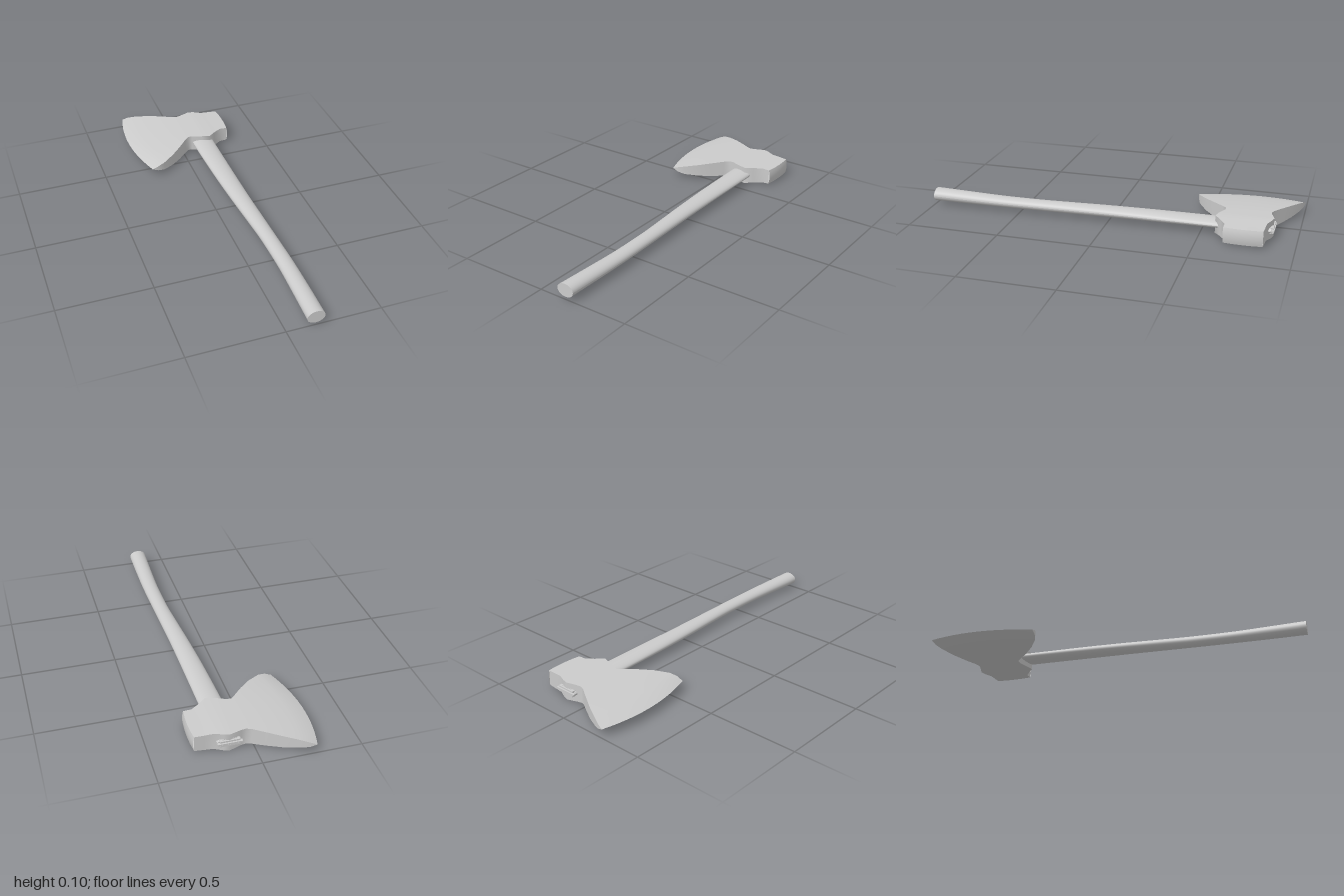
import * as THREE from 'three';

const MID = 0.049; // height of the plane of symmetry

// Smooth surface patch from point(u, v) on an integer grid; faces along du x dv unless flipped
function patch(name, nu, nv, point, flip = false) {
  const positions = [], index = [];
  for (let i = 0; i <= nu; i++) for (let j = 0; j <= nv; j++) positions.push(...point(i, j));
  for (let i = 0; i < nu; i++) for (let j = 0; j < nv; j++) {
    const a = i * (nv + 1) + j, b = a + nv + 1;
    if (flip) index.push(a, a + 1, b, b, a + 1, b + 1);
    else index.push(a, b, a + 1, b, b + 1, a + 1);
  }
  const geometry = new THREE.BufferGeometry();
  geometry.setAttribute('position', new THREE.Float32BufferAttribute(positions, 3));
  geometry.setIndex(index);
  geometry.computeVertexNormals();
  const mesh = new THREE.Mesh(geometry,
    new THREE.MeshStandardMaterial({ color: 0xcccccc, side: THREE.DoubleSide }));
  mesh.name = name;
  return mesh;
}

// Head stations from cutting edge to poll: back x, back z, front x, front z, half thickness, bow
const HEAD = [
  [-0.27, -1.0, -0.24, -0.42, 0, 0.046],
  [-0.235, -0.992, -0.205, -0.419, 0.014, 0.038],
  [-0.19, -0.972, -0.165, -0.432, 0.024, 0.028],
  [-0.12, -0.937, -0.10, -0.477, 0.034, 0.015],
  [-0.05, -0.896, -0.04, -0.533, 0.041, 0.006],
  [0.01, -0.859, 0.01, -0.587, 0.045, 0],
  [0.035, -0.85, 0.035, -0.61, 0.046, 0],
  [0.06, -0.854, 0.06, -0.609, 0.047, 0],
  [0.12, -0.873, 0.115, -0.587, 0.049, 0],
  [0.15, -0.865, 0.16, -0.575, 0.049, 0],
  [0.195, -0.845, 0.20, -0.608, 0.046, 0],
  [0.24, -0.843, 0.245, -0.637, 0.044, -0.003],
  [0.287, -0.84, 0.287, -0.637, 0.042, -0.007],
];

function headPoint(i, v, side) {
  const [xb, zb, xf, zf, half, bow] = HEAD[i];
  return [xb + (xf - xb) * v - bow * 4 * v * (1 - v), MID + side * half, zb + (zf - zb) * v];
}

function createHead() {
  const head = new THREE.Group();
  head.name = 'axeHead';
  const n = HEAD.length - 1, across = 12;
  head.add(
    patch('upperCheek', n, across, (i, j) => headPoint(i, j / across, 1), true),
    patch('lowerCheek', n, across, (i, j) => headPoint(i, j / across, -1)),
    patch('backWall', n, 2, (i, j) => headPoint(i, 0, j - 1), true),
    patch('frontWall', n, 2, (i, j) => headPoint(i, 1, j - 1)),
    // Slightly domed striking face
    patch('poll', 8, across, (i, j) => {
      const side = i / 4 - 1;
      const p = headPoint(n, j / across, side);
      p[0] += 0.006 * (1 - side * side);
      return p;
    })
  );
  return head;
}

// Handle stations: z, left edge x, right edge x, half thickness
const HANDLE = [
  [-0.868, 0.06, 0.183, 0.021],
  [-0.6, 0.064, 0.186, 0.023],
  [-0.4, 0.07, 0.187, 0.025],
  [-0.2, 0.078, 0.188, 0.027],
  [0, 0.09, 0.19, 0.028],
  [0.2, 0.105, 0.195, 0.028],
  [0.38, 0.117, 0.2, 0.028],
  [0.6, 0.12, 0.205, 0.029],
  [0.8, 0.114, 0.204, 0.032],
  [1, 0.106, 0.2, 0.035],
];

function createHandle() {
  const handle = new THREE.Group();
  handle.name = 'handle';
  const sides = 32, steps = 40;
  // Smooth curves through the stations for both edges and the thickness
  const edges = new THREE.CatmullRomCurve3(HANDLE.map(([, a, b, h]) => new THREE.Vector3(a, b, h)));
  const depth = new THREE.CatmullRomCurve3(HANDLE.map(([z]) => new THREE.Vector3(0, 0, z)));
  const ring = (i, t, scale = 1) => {
    const e = edges.getPoint(t), a = i / sides * Math.PI * 2;
    return [(e.x + e.y) / 2 + Math.cos(a) * (e.y - e.x) / 2 * scale,
      MID + Math.sin(a) * e.z * scale, depth.getPoint(t).z];
  };
  handle.add(
    patch('shaft', sides, steps, (i, j) => ring(i, j / steps)),
    patch('buttEnd', sides, 1, (i, j) => ring(i, 1, 1 - j)),
    patch('eyeEnd', sides, 1, (i, j) => ring(i, 0, j))
  );
  // Wedge driven into the eye end, with a rib of wood on each side of it
  for (const [name, y, width, height, z] of [
    ['wedge', 0, 0.124, 0.008, -0.872],
    ['upperRib', 0.012, 0.1, 0.008, -0.868],
    ['lowerRib', -0.012, 0.1, 0.008, -0.868],
  ]) {
    const box = new THREE.Mesh(new THREE.BoxGeometry(width, height, 0.02),
      new THREE.MeshStandardMaterial({ color: 0xcccccc }));
    box.name = name;
    box.position.set(0.121, MID + y, z);
    handle.add(box);
  }
  return handle;
}

export function createModel() {
  const model = new THREE.Group();
  model.name = 'axe';
  model.add(createHead(), createHandle());
  return model;
}
